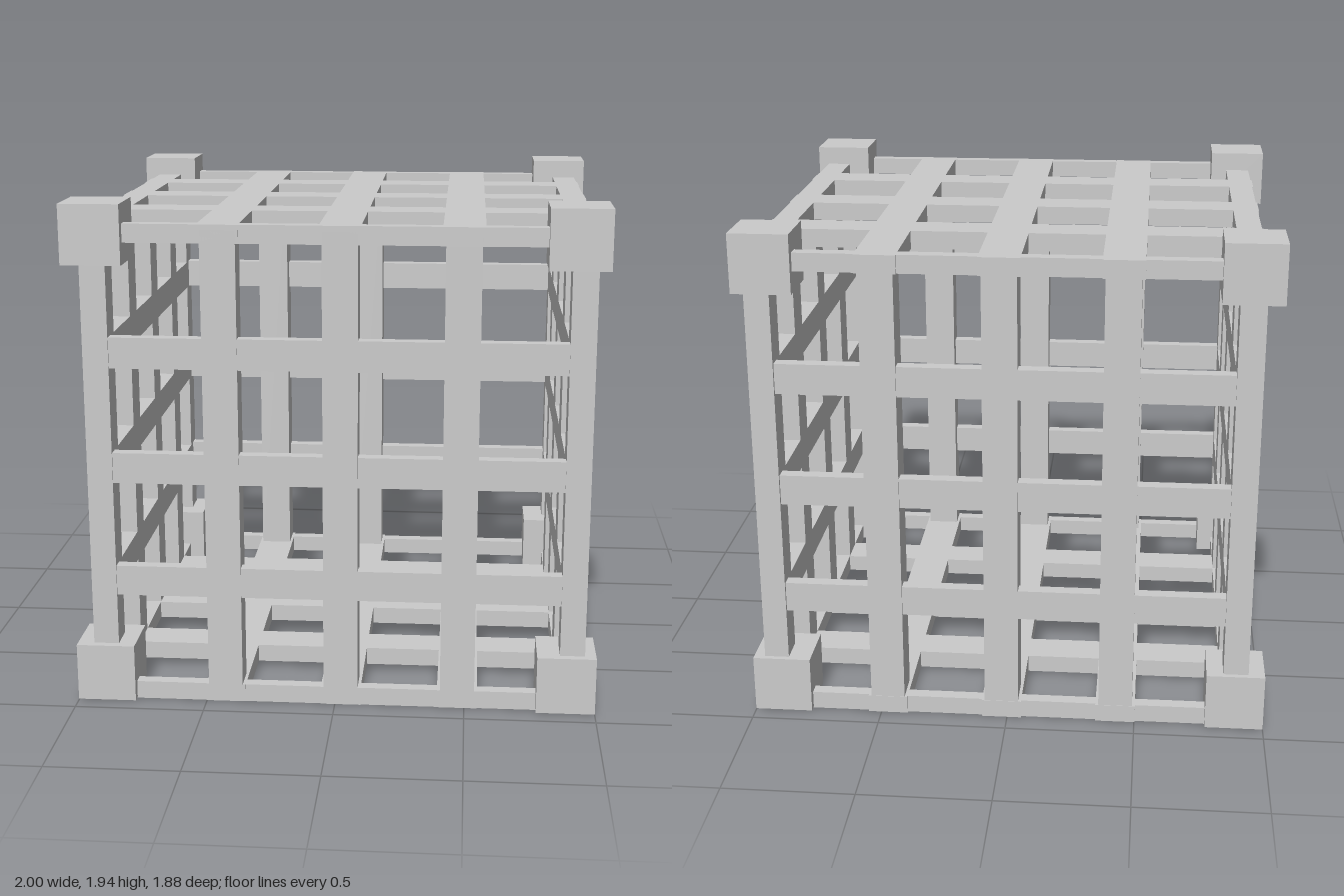
import * as THREE from 'three';

// Open cubic cage: corner blocks, corner posts and a lattice on all six sides
export function createModel() {
  const model = new THREE.Group();
  const material = new THREE.MeshStandardMaterial({ color: 0xcccccc, flatShading: true });

  // Box given by its lower and upper limits on each axis
  const bar = (parent, name, [x0, x1], [y0, y1], [z0, z1]) => {
    const mesh = new THREE.Mesh(new THREE.BoxGeometry(x1 - x0, y1 - y0, z1 - z0), material);
    mesh.position.set((x0 + x1) / 2, (y0 + y1) / 2, (z0 + z1) / 2);
    mesh.name = name;
    parent.add(mesh);
  };
  const group = (name) => {
    const g = new THREE.Group();
    g.name = name;
    model.add(g);
    return g;
  };
  const span = (centre, width) => [centre - width / 2, centre + width / 2];

  const barX = [-0.425, 0.0225, 0.4725];
  const barY = [0.492, 0.942, 1.387];
  const barZ = [0.435, -0.012, -0.465];
  const postX = [[-0.937, -0.84], [0.862, 0.957]];
  const postZ = [[-0.917, -0.802], [0.797, 0.908]];
  const layers = [[0.005, 0.075], [1.8, 1.87]];

  // Corner blocks and posts
  const corners = group('cornerFrame');
  for (const px of postX) {
    for (const pz of postZ) {
      bar(corners, 'cornerPost', px, [0.005, 1.87], pz);
      for (const y of [0.122, 1.832]) {
        bar(corners, 'cornerBlock', span(Math.sign(px[0]) * 0.8875, 0.225), span(y, 0.225),
          span(Math.sign(pz[0]) * 0.8275, 0.22));
      }
    }
  }

  // Front and back: deep uprights with shallow rails
  const walls = [
    ['frontLattice', [0.797, 0.905], [0.855, 0.902]],
    ['backLattice', [-0.913, -0.777], [-0.905, -0.855]],
  ];
  for (const [name, deep, shallow] of walls) {
    const wall = group(name);
    for (const x of barX) bar(wall, 'upright', span(x, 0.132), [0.02, 1.85], deep);
    for (const y of barY) bar(wall, 'rail', [-0.87, 0.89], span(y, 0.118), shallow);
    for (const y of layers) bar(wall, 'edgeRail', [-0.93, 0.95], y, shallow);
  }

  // Left and right: uprights with slightly recessed rails
  for (const px of postX) {
    const right = px[0] < 0;
    const wall = group(right ? 'rightLattice' : 'leftLattice');
    const recessed = right ? [px[0] + 0.02, px[1]] : [px[0], px[1] - 0.02];
    for (const z of barZ) bar(wall, 'upright', px, [0.02, 1.85], span(z, 0.132));
    for (const y of barY) bar(wall, 'rail', recessed, span(y, 0.118), [-0.86, 0.85]);
    for (const y of layers) bar(wall, 'edgeRail', px, y, [-0.9, 0.9]);
  }

  // Top and bottom: crossed flat slats
  layers.forEach((y, i) => {
    const grid = group(i ? 'topLattice' : 'bottomLattice');
    for (const x of barX) bar(grid, 'lengthSlat', span(x, 0.155), y, [-0.915, 0.905]);
    for (const z of barZ) bar(grid, 'crossSlat', [-0.942, 0.96], y, span(z, 0.15));
  });

  return model;
}
